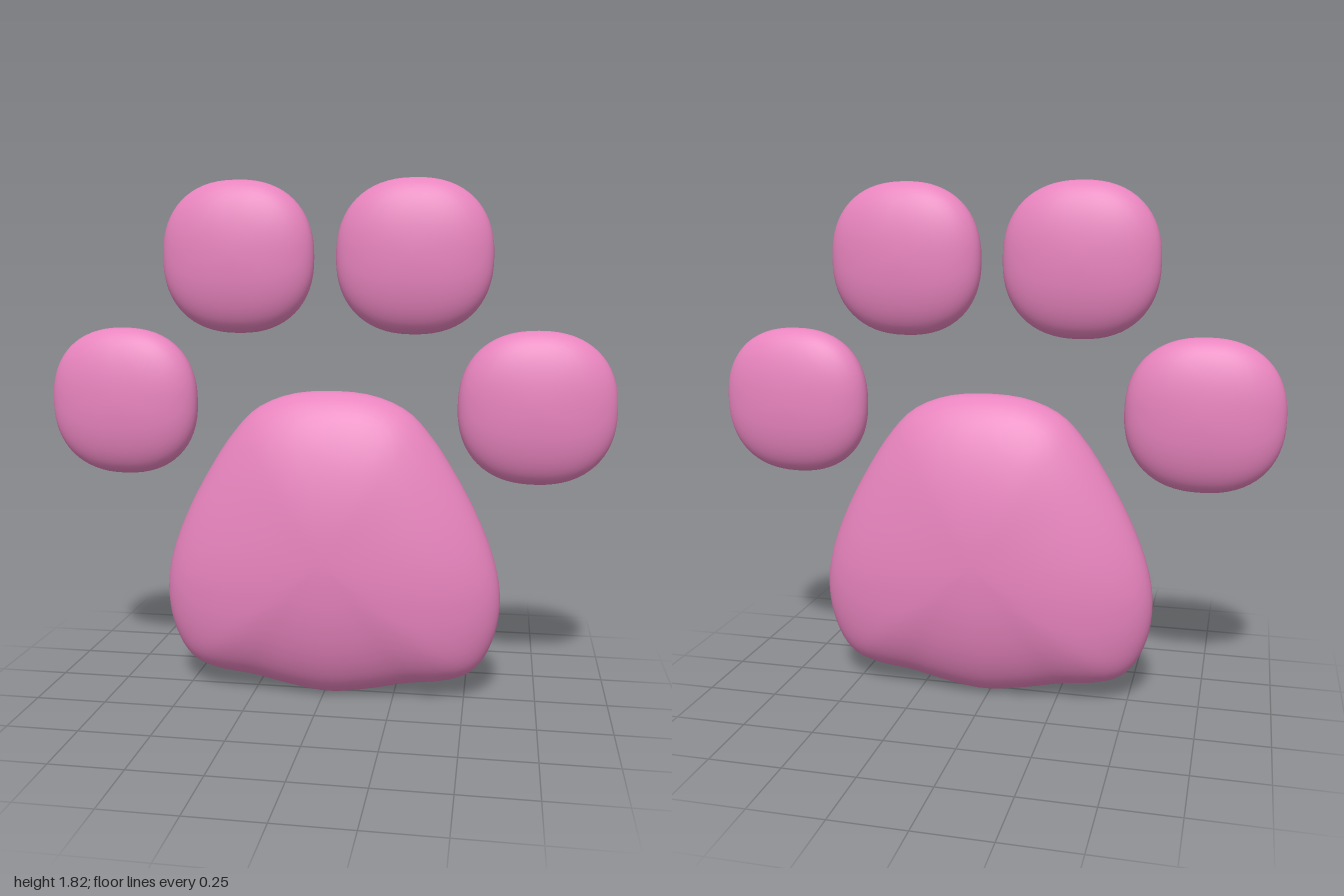
import * as THREE from 'three';
import { mergeVertices } from 'three/addons/utils/BufferGeometryUtils.js';

const material = new THREE.MeshStandardMaterial({ color: 0xe884be });

// Puffy cushion: a sphere with poles along z whose rim follows an outline.
// outline(t) gives a point on the closed rim, counterclockwise from the bottom.
function cushion(outline, depth, fullness, around, rings) {
  let geo = new THREE.SphereGeometry(1, around, rings);
  geo.rotateX(Math.PI / 2);
  geo.deleteAttribute('uv');
  geo.deleteAttribute('normal');
  const pos = geo.attributes.position;
  for (let i = 0; i < pos.count; i++) {
    const x = pos.getX(i), y = pos.getY(i), z = pos.getZ(i);
    const t = (Math.atan2(y, x) / (2 * Math.PI) + 1.25) % 1;
    const k = 2 / fullness;
    const r = Math.pow(Math.min(1, Math.hypot(x, y)), k);
    const p = outline(t);
    pos.setXYZ(i, p.x * r, p.y * r, Math.sign(z) * Math.pow(Math.abs(z), k) * depth);
  }
  geo = mergeVertices(geo, 1e-4);
  geo.computeVertexNormals();
  return geo;
}

// Rounded-square rim of a toe
function toeOutline(t) {
  const a = t * 2 * Math.PI - Math.PI / 2, e = 2 / 2.3;
  const bend = (v) => Math.sign(v) * Math.pow(Math.abs(v), e);
  return { x: 0.268 * bend(Math.cos(a)), y: 0.263 * bend(Math.sin(a)) };
}

export function createModel() {
  const group = new THREE.Group();
  const add = (name, geo, x, y) => {
    const mesh = new THREE.Mesh(geo, material);
    mesh.name = name;
    mesh.position.set(x, y, 0);
    group.add(mesh);
  };

  // Main pad: half outline from bottom to top, mirrored
  const padY = 0.53;
  const half = [
    [0, 0.005], [0.15, 0.025], [0.28, 0.053], [0.41, 0.07], [0.49, 0.097],
    [0.54, 0.145], [0.58, 0.23], [0.598, 0.32], [0.598, 0.41], [0.575, 0.52],
    [0.52, 0.66], [0.44, 0.81], [0.355, 0.94], [0.27, 1.03], [0.15, 1.083], [0, 1.098],
  ];
  const rim = [...half, ...half.slice(1, -1).reverse().map(([x, y]) => [-x, y])];
  const curve = new THREE.CatmullRomCurve3(
    rim.map(([x, y]) => new THREE.Vector3(x, y - padY, 0)), true);
  add('mainPad', cushion((t) => curve.getPoint(t), 0.215, 2, 90, 40), 0.02, padY);

  // Four toe pads
  const toe = cushion(toeOutline, 0.108, 2.15, 64, 32);
  add('innerToeRight', toe, -0.308, 1.56);
  add('innerToeLeft', toe, 0.305, 1.56);
  add('outerToeRight', toe, -0.732, 1.05);
  add('outerToeLeft', toe, 0.728, 1.05);

  return group;
}
